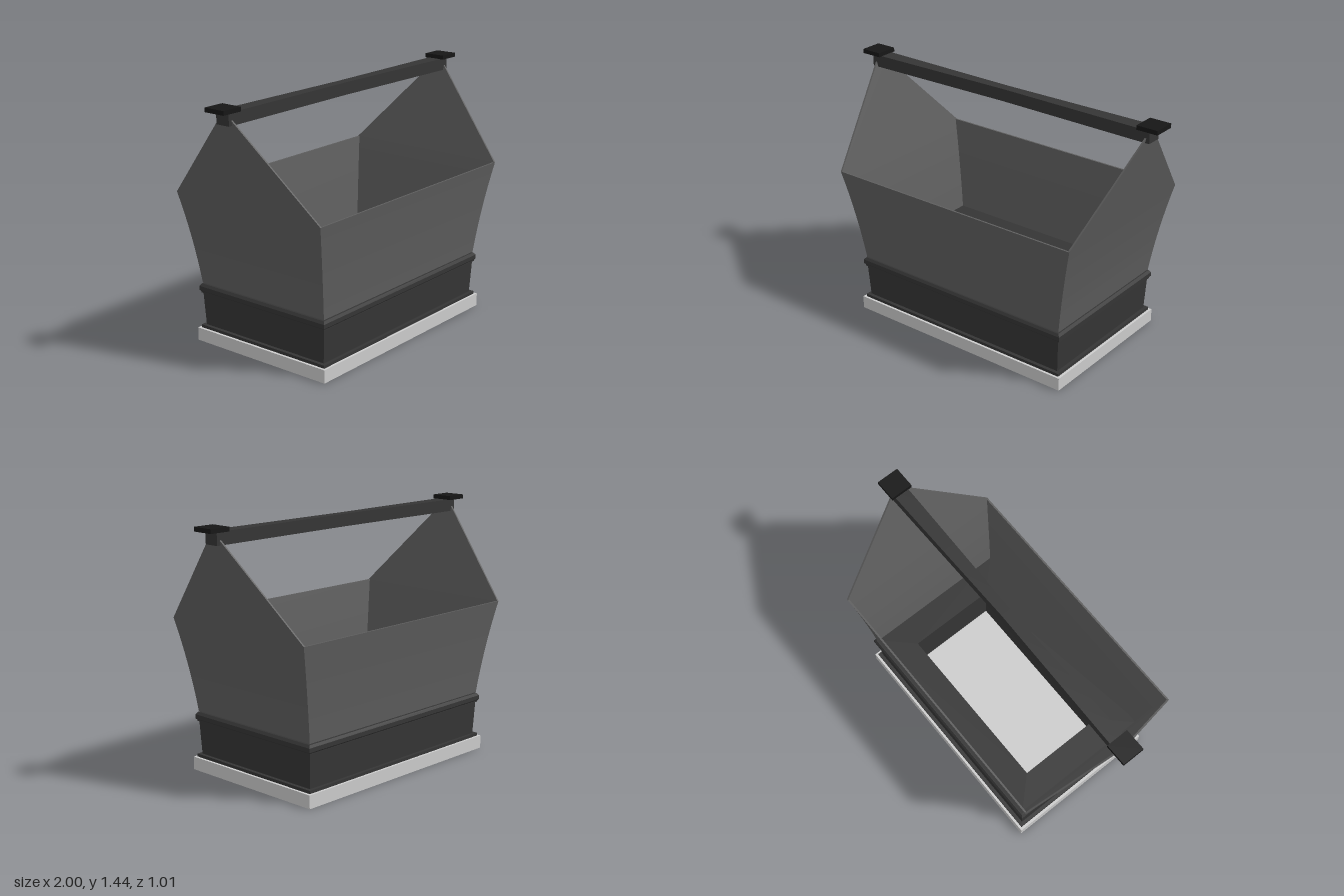
import * as THREE from 'three';

const paint = (color) => new THREE.MeshStandardMaterial({ color, flatShading: true });

// Closed rectangular frame: each ring is [half width, height, half depth],
// listed up the outside and down the inside.
function frame(rings) {
  const corners = [[1, 1], [1, -1], [-1, -1], [-1, 1]];
  const pos = [], index = [];
  for (const [hx, y, hz] of rings)
    for (const [sx, sz] of corners) pos.push(sx * hx, y, sz * hz);
  rings.forEach((_, i) => {
    const r = i * 4, s = ((i + 1) % rings.length) * 4;
    for (let k = 0; k < 4; k++) {
      const n = (k + 1) % 4;
      index.push(r + k, r + n, s + n, r + k, s + n, s + k);
    }
  });
  const g = new THREE.BufferGeometry();
  g.setAttribute('position', new THREE.Float32BufferAttribute(pos, 3));
  g.setIndex(index);
  const flat = g.toNonIndexed();
  flat.computeVertexNormals();
  return flat;
}

// Moves every vertex of a geometry by a rule.
function reshape(g, rule) {
  const p = g.attributes.position, v = new THREE.Vector3();
  for (let i = 0; i < p.count; i++) {
    rule(v.fromBufferAttribute(p, i));
    p.setXYZ(i, v.x, v.y, v.z);
  }
  g.computeVertexNormals();
  return g;
}

export function createModel() {
  const group = new THREE.Group();
  const grey = paint(0xcccccc), panel = paint(0x5e5e5e);
  const dark = paint(0x353535), black = paint(0x161616);
  const add = (name, geometry, material, x = 0, y = 0, z = 0) => {
    const m = new THREE.Mesh(geometry, material);
    m.name = name;
    m.position.set(x, y, z);
    group.add(m);
    return m;
  };

  // Pale base slab
  add('baseSlab', new THREE.BoxGeometry(1.425, 0.075, 0.92), grey, 0, 0.0375, 0);

  // Dark plinth with foot moulding, rounded rim and a rectangular well
  add('plinth', frame([
    [0.697, 0.075, 0.446], [0.697, 0.092, 0.446], [0.677, 0.092, 0.426],
    [0.686, 0.283, 0.436], [0.694, 0.283, 0.444], [0.694, 0.291, 0.444],
    [0.702, 0.298, 0.45], [0.702, 0.322, 0.45], [0.69, 0.336, 0.44],
    [0.515, 0.336, 0.26], [0.508, 0.075, 0.253],
  ]), dark);

  // Flared basket walls, curving gently outward
  const wall = 0.01, bottom = 0.341, top = 0.88, outer = [], inner = [];
  for (let i = 0; i <= 8; i++) {
    const t = i / 8, bow = 0.7 * t + 0.3 * t * t;
    const hx = 0.687 + 0.105 * bow, hz = 0.437 + 0.068 * bow;
    const y = bottom + (top - bottom) * t;
    outer.push([hx, y, hz]);
    inner.unshift([hx - wall, y, hz - wall]);
  }
  add('basketWalls', frame([...outer, ...inner]), panel);

  // Pointed end panels rising to the handle, with an end cap above each
  for (const side of [1, -1]) {
    const name = side > 0 ? 'left' : 'right';
    add(name + 'Gable', reshape(new THREE.BoxGeometry(wall, 1, 1), (v) => {
      const up = v.y > 0;
      v.x += side * ((up ? 0.925 : 0.792) - wall / 2);
      v.z *= up ? 0.08 : 1.01;
      v.y = up ? 1.38 : top;
    }), panel);
    add(name + 'Cap', new THREE.BoxGeometry(0.125, 0.024, 0.128), black, side * 0.9375, 1.431, 0);
  }

  // Handle bar, slimmer toward the middle
  add('handleBar', reshape(new THREE.BoxGeometry(1.884, 0.07, 1, 12, 1, 1), (v) => {
    const t = Math.min(1, Math.abs(v.x) / 0.9);
    v.z *= 2 * (0.029 + 0.014 * t);
  }), dark, 0, 1.385, 0);

  return group;
}
